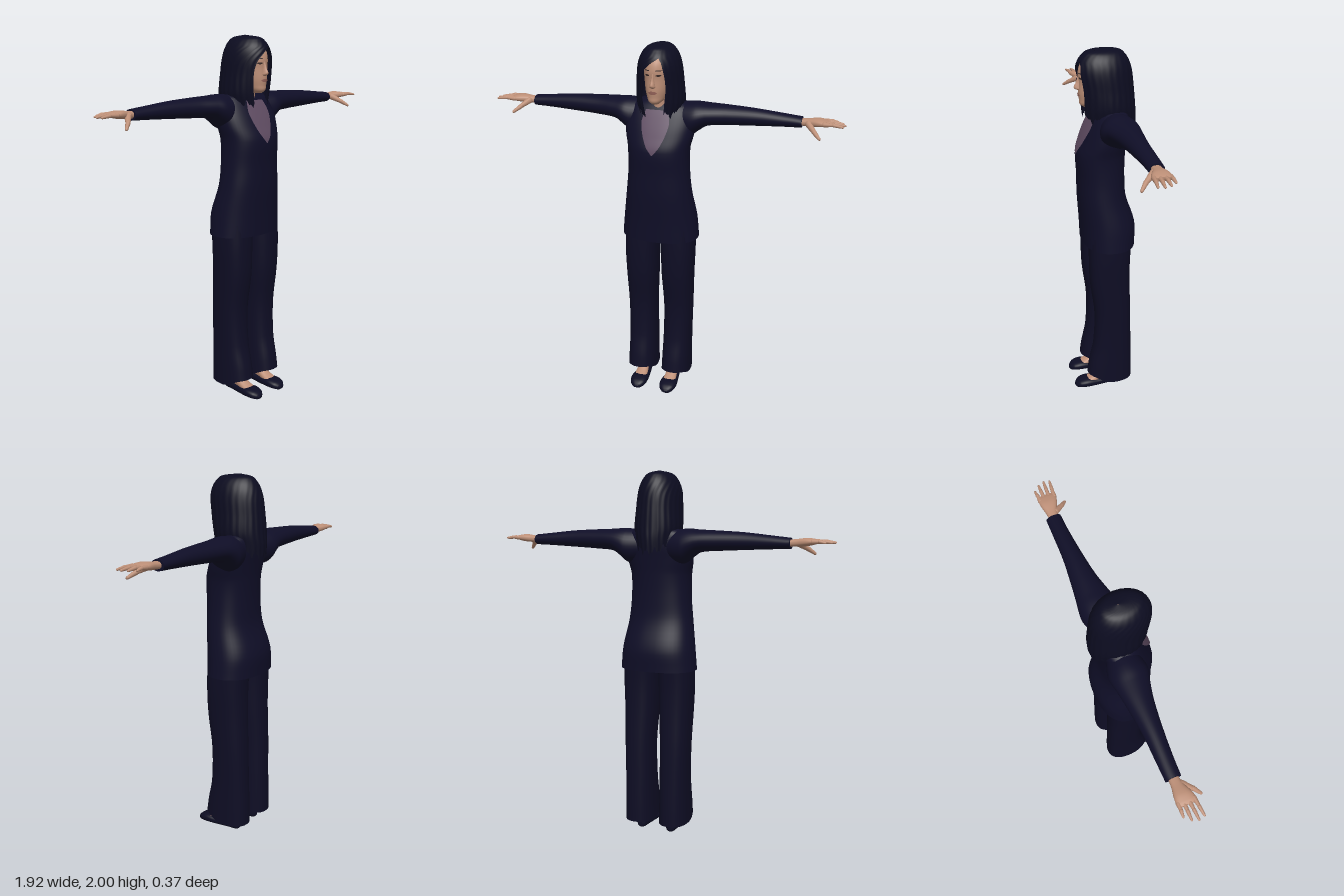
import * as THREE from 'three';

const mat = (name, color, side = THREE.FrontSide) => {
  const m = new THREE.MeshStandardMaterial({ color, side });
  m.name = name;
  return m;
};

// Smoothly interpolates rows of [t, a0, a1, ...] at t
function sample(rows, t) {
  const n = rows.length;
  t = THREE.MathUtils.clamp(t, rows[0][0], rows[n - 1][0]);
  let i = 0;
  while (i < n - 2 && t > rows[i + 1][0]) i++;
  const h = rows[i + 1][0] - rows[i][0], s = (t - rows[i][0]) / h;
  const slope = (k, c) => {
    const p = rows[Math.max(k - 1, 0)], q = rows[Math.min(k + 1, n - 1)];
    return (q[c] - p[c]) / (q[0] - p[0]);
  };
  return rows[i].map((v, c) => {
    const w = rows[i + 1][c];
    return v * (1 + 2 * s) * (1 - s) ** 2 + w * s * s * (3 - 2 * s)
      + h * (slope(i, c) * s * (1 - s) ** 2 - slope(i + 1, c) * s * s * (1 - s));
  });
}

function build(positions, index) {
  const g = new THREE.BufferGeometry();
  g.setAttribute('position', new THREE.Float32BufferAttribute(positions, 3));
  g.setIndex(index);
  g.computeVertexNormals();
  return g;
}

const power = (v, k) => Math.sign(v) * Math.abs(v) ** (2 / k);

// Capped loft along an axis. Rows: x -> [x, z0, z1, y0, y1], y -> [y, x0, x1, z0, z1], z -> [z, y0, y1, x0, x1]
function loft(rows, axis, { k = 2, n = 32, steps = 5, warp } = {}) {
  const pos = [], idx = [], rings = (rows.length - 1) * steps;
  const place = (a, t, b) => {
    const p = axis === 'y' ? [a, t, b] : axis === 'x' ? [t, b, a] : [b, a, t];
    if (warp) warp(p);
    pos.push(...p);
  };
  const ring = (i) => {
    const r = Math.min(Math.floor(i / steps), rows.length - 2), s = i / steps - r;
    const [t, a0, a1, b0, b1] = sample(rows, rows[r][0] + s * (rows[r + 1][0] - rows[r][0]));
    for (let j = 0; j < n; j++) {
      const th = j / n * Math.PI * 2;
      place((a0 + a1) / 2 + (a1 - a0) / 2 * power(Math.sin(th), k), t,
        (b0 + b1) / 2 + (b1 - b0) / 2 * power(Math.cos(th), k));
    }
  };
  for (let i = 0; i <= rings; i++) ring(i);
  for (let i = 0; i < rings; i++) for (let j = 0; j < n; j++) {
    const a = i * n + j, b = i * n + (j + 1) % n;
    idx.push(a, b, b + n, a, b + n, a + n);
  }
  for (const end of [0, rings]) {
    const s = pos.length / 3;
    ring(end);
    const r = rows[end ? rows.length - 1 : 0];
    place((r[1] + r[2]) / 2, r[0], (r[3] + r[4]) / 2);
    for (let j = 0; j < n; j++) {
      const a = s + j, b = s + (j + 1) % n;
      idx.push(s + n, ...(end ? [a, b] : [b, a]));
    }
  }
  return build(pos, idx);
}

// Thin patch lying on the front of a y loft; outline rows are [y, x0, x1]
function patch(body, k, outline, offset, nu = 12, nv = 24) {
  const pos = [], idx = [], y0 = outline[0][0], y1 = outline[outline.length - 1][0];
  for (let i = 0; i <= nv; i++) {
    const [y, l, r] = sample(outline, y0 + (y1 - y0) * i / nv);
    const [, a0, a1, b0, b1] = sample(body, y);
    for (let j = 0; j <= nu; j++) {
      const x = l + (r - l) * j / nu;
      const u = Math.min(1, Math.abs((x - (a0 + a1) / 2) / ((a1 - a0) / 2)));
      pos.push(x, y, (b0 + b1) / 2 + (b1 - b0) / 2 * (1 - u ** k) ** (1 / k) + offset);
      if (i < nv && j < nu) {
        const a = i * (nu + 1) + j, c = a + nu + 1;
        idx.push(a, a + 1, c + 1, a, c + 1, c);
      }
    }
  }
  return build(pos, idx);
}

// Rounded finger segment between two points
function digit(from, to, r) {
  const a = new THREE.Vector3(...from), d = new THREE.Vector3(...to).sub(a), len = d.length();
  const g = new THREE.CapsuleGeometry(r, len, 5, 12);
  const p = g.attributes.position;
  for (let i = 0; i < p.count; i++) {
    const f = 1 - 0.35 * THREE.MathUtils.clamp(p.getY(i) / len + 0.5, 0, 1);
    p.setX(i, p.getX(i) * f);
    p.setZ(i, p.getZ(i) * f);
  }
  g.applyQuaternion(new THREE.Quaternion().setFromUnitVectors(new THREE.Vector3(0, 1, 0), d.clone().normalize()));
  return g.translate(...a.addScaledVector(d, 0.5).toArray());
}

function mirrored(g) {
  const m = g.clone().scale(-1, 1, 1), ix = m.index;
  for (let i = 0; i < ix.count; i += 3) {
    const t = ix.getX(i);
    ix.setX(i, ix.getX(i + 1));
    ix.setX(i + 1, t);
  }
  m.computeVertexNormals();
  return m;
}

// Hair shell with a parted opening for the face and a ragged hem
function hairShell() {
  const shape = [[1.54, .1, -.172, .09], [1.64, .114, -.178, .11], [1.7, .126, -.174, .118], [1.8, .121, -.165, .134],
    [1.88, .114, -.155, .142], [1.93, .101, -.14, .132], [1.97, .077, -.115, .105], [1.99, .048, -.085, .07], [2, .002, -.022, -.018]];
  const gap = [[1.6, -.04, .045], [1.7, -.058, .055], [1.78, -.066, .064], [1.84, -.062, .062],
    [1.88, -.045, .055], [1.92, -.005, .044], [1.945, .03, .03], [2, .03, .03]];
  const pos = [], idx = [], cols = 96, rows = 44;
  for (let i = 0; i <= rows; i++) for (let j = 0; j <= cols; j++) {
    const th0 = j / cols * Math.PI * 2, back = (1 - Math.cos(th0)) / 2;
    const hem = 1.645 - .07 * back ** 2 + .015 * Math.sin(th0 * 13) + .01 * Math.sin(th0 * 29);
    const v = i / rows, y = 2 - (2 - hem) * v ** 1.7;
    const [, rx, b0, b1] = sample(shape, y), [, l, r] = sample(gap, y);
    const angle = (x) => Math.asin(THREE.MathUtils.clamp(x / rx, -.95, .95));
    const th = angle(r) + (angle(l) + Math.PI * 2 - angle(r)) * j / cols;
    const f = 1 + .014 * v * Math.sin(th0 * 21);
    pos.push(rx * f * Math.sin(th), y, (b0 + b1) / 2 + (b1 - b0) / 2 * f * Math.cos(th));
    if (i < rows && j < cols) {
      const a = i * (cols + 1) + j, c = a + cols + 1;
      idx.push(c, c + 1, a + 1, c, a + 1, a);
    }
  }
  return build(pos, idx);
}

export function createModel() {
  const model = new THREE.Group();
  const suit = mat('navy suit', 0x0f0e27), trouser = mat('navy trousers', 0x0e0d24);
  const hair = mat('dark hair', 0x0c0c20, THREE.DoubleSide), skin = mat('skin', 0xbd8f77);
  const blouse = mat('mauve blouse', 0x5f4c62, THREE.DoubleSide), shoe = mat('dark shoe', 0x0d0d23);
  const eye = mat('eye', 0x3a2b28, THREE.DoubleSide), lip = mat('lips', 0x96645a, THREE.DoubleSide);
  const add = (name, g, m) => {
    const mesh = new THREE.Mesh(g, m);
    mesh.name = name;
    model.add(mesh);
  };
  const pair = (name, g, m) => {
    add('left' + name, g, m);
    add('right' + name, mirrored(g), m);
  };

  // Jacket and blouse
  const torso = [[.93, -.215, .215, -.17, .118], [1.05, -.203, .203, -.17, .124], [1.2, -.18, .18, -.122, .134],
    [1.32, -.168, .168, -.113, .136], [1.45, -.168, .168, -.115, .14], [1.53, -.185, .185, -.122, .112],
    [1.61, -.19, .19, -.13, .075], [1.67, -.165, .165, -.125, .04], [1.7, -.105, .105, -.105, .01], [1.715, -.05, .05, -.08, -.02]];
  add('jacket', loft(torso, 'y', { k: 2.3, n: 48 }), suit);
  add('blouse', patch(torso, 2.3, [[1.438, -.002, .002], [1.48, -.035, .035], [1.54, -.062, .062],
    [1.6, -.075, .075], [1.66, -.06, .06]], .006), blouse);
  pair('Sleeve', loft([[.08, -.12, .03, 1.52, 1.685], [.16, -.145, .05, 1.51, 1.695], [.2, -.145, .05, 1.54, 1.696],
    [.25, -.138, .035, 1.572, 1.692], [.35, -.125, .01, 1.582, 1.688], [.5, -.11, -.01, 1.59, 1.68],
    [.65, -.106, -.022, 1.597, 1.665], [.74, -.104, -.025, 1.6, 1.656]], 'x'), suit);

  // Trousers with the hem raised over the instep
  const hem = (p) => {
    p[1] += .045 * THREE.MathUtils.smoothstep(p[2], -.02, .11) * THREE.MathUtils.clamp((.3 - p[1]) / .245, 0, 1);
  };
  pair('Trouser', loft([[.055, .02, .184, -.147, .112], [.15, .022, .183, -.146, .1], [.3, .025, .182, -.142, .075],
    [.5, .026, .186, -.137, .068], [.7, .016, .192, -.13, .092], [.85, .012, .197, -.13, .097],
    [1, .008, .195, -.14, .095]], 'y', { k: 2.5, warp: hem }), trouser);

  // Feet and shoes
  pair('Foot', loft([[-.07, .03, .1, .07, .11], [-.05, .02, .14, .063, .115], [.01, .02, .12, .062, .116],
    [.06, .02, .078, .055, .122], [.12, .02, .048, .05, .126]], 'z'), skin);
  pair('Shoe', loft([[-.086, .008, .045, .08, .1], [-.075, 0, .06, .064, .114], [-.02, 0, .05, .056, .12],
    [.05, 0, .046, .046, .13], [.11, 0, .052, .04, .138], [.155, 0, .044, .046, .132],
    [.178, 0, .03, .064, .114], [.186, .006, .018, .08, .1]], 'z', { k: 2.6 }), shoe);

  // Hands
  pair('Palm', loft([[.71, -.088, -.04, 1.61, 1.645], [.77, -.09, -.034, 1.612, 1.65], [.82, -.1, -.014, 1.615, 1.656],
    [.855, -.103, -.006, 1.622, 1.652], [.875, -.1, -.012, 1.628, 1.646]], 'x', { k: 2.4 }), skin);
  [[-.016, -.006, .945], [-.042, -.036, .953], [-.068, -.067, .942], [-.092, -.096, .915]].forEach(([z0, z1, x], i) => {
    const mid = [(.86 + x) / 2, 1.639, (z0 + z1) / 2];
    pair('FingerBase' + i, digit([.855, 1.637, z0], mid, .0125), skin);
    pair('FingerTip' + i, digit(mid, [x, 1.634, z1], .0095), skin);
  });
  pair('ThumbBase', digit([.775, 1.627, -.04], [.81, 1.6, .004], .018), skin);
  pair('ThumbTip', digit([.81, 1.6, .004], [.838, 1.577, .03], .0125), skin);

  // Head, neck and face
  const head = [[1.7, -.018, .018, .03, .1], [1.715, -.036, .036, 0, .119], [1.74, -.05, .05, -.05, .122],
    [1.775, -.061, .061, -.09, .126], [1.83, -.07, .07, -.12, .124], [1.88, -.074, .074, -.13, .126],
    [1.93, -.064, .064, -.11, .108], [1.965, -.03, .03, -.06, .06]];
  add('head', loft(head, 'y', { k: 2.2 }), skin);
  add('neck', loft([[1.6, -.06, .06, -.09, .06], [1.67, -.047, .047, -.085, .04], [1.76, -.044, .044, -.08, .05]], 'y'), skin);
  add('nose', loft([[1.79, -.009, .009, .1, .13], [1.797, -.015, .015, .1, .144], [1.808, -.013, .013, .1, .149],
    [1.83, -.009, .009, .1, .138], [1.868, -.006, .006, .1, .126]], 'y', { n: 16 }), skin);
  pair('Eye', patch(head, 2.2, [[1.851, .026, .034], [1.856, .016, .043], [1.861, .024, .036]], .003, 8, 6), eye);
  pair('Eyebrow', patch(head, 2.2, [[1.878, .014, .042], [1.883, .018, .046]], .003, 8, 3), eye);
  add('lips', patch(head, 2.2, [[1.758, -.01, .01], [1.767, -.024, .024], [1.775, -.009, .009]], .004, 8, 6), lip);
  add('hair', hairShell(), hair);
  return model;
}
